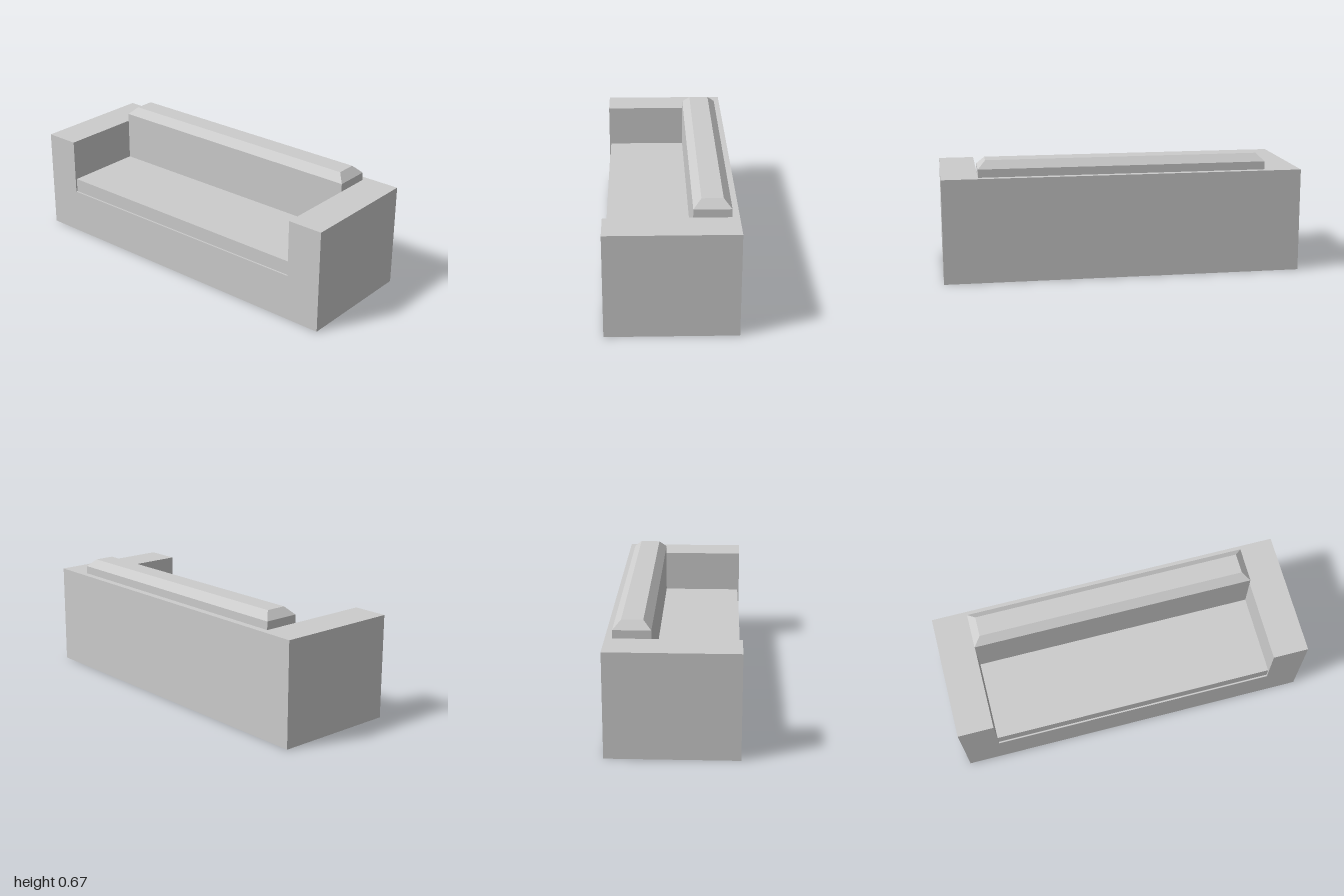
import * as THREE from 'three';

const material = new THREE.MeshStandardMaterial({ color: 0xcccccc, flatShading: true });

function addPart(group, name, geometry) {
  const mesh = new THREE.Mesh(geometry, material);
  mesh.name = name;
  group.add(mesh);
  return mesh;
}

// Box given by its minimum and maximum corners
function boxBetween([x0, y0, z0], [x1, y1, z1], ySegments = 1) {
  return new THREE.BoxGeometry(x1 - x0, y1 - y0, z1 - z0, 1, ySegments, 1)
    .translate((x0 + x1) / 2, (y0 + y1) / 2, (z0 + z1) / 2);
}

export function createModel() {
  const sofa = new THREE.Group();
  sofa.name = 'sofa';

  const halfWidth = 1, inner = 0.8, halfDepth = 0.352;
  const armTop = 0.58, baseTop = 0.26, seatTop = 0.34;
  const padBack = -0.313, padFront = -0.113;

  // Base and both arms: one U-shaped front profile, extruded through the depth
  const profile = new THREE.Shape([
    [-halfWidth, 0], [halfWidth, 0], [halfWidth, armTop], [inner, armTop],
    [inner, baseTop], [-inner, baseTop], [-inner, armTop], [-halfWidth, armTop],
  ].map(([x, y]) => new THREE.Vector2(x, y)));
  addPart(sofa, 'baseAndArms',
    new THREE.ExtrudeGeometry(profile, { depth: 2 * halfDepth, bevelEnabled: false })
      .translate(0, 0, -halfDepth));

  // Back panel closing the U behind the cushions
  addPart(sofa, 'backPanel',
    boxBetween([-inner, baseTop, -halfDepth], [inner, armTop, padBack]));

  // Seat cushion, set back slightly from the front of the base
  addPart(sofa, 'seatCushion',
    boxBetween([-inner, baseTop, padBack], [inner, seatTop, 0.343]));

  // Back cushion: straight sides with a wide chamfer around the top
  const padTop = 0.668, chamfer = 0.043;
  const pad = boxBetween([-inner, seatTop, padBack], [inner, padTop, padFront], 2);
  const pos = pad.attributes.position;
  const midZ = (padBack + padFront) / 2;
  for (let i = 0; i < pos.count; i++) {
    const y = pos.getY(i);
    if (y > padTop - 0.01) {
      pos.setX(i, pos.getX(i) - Math.sign(pos.getX(i)) * chamfer);
      pos.setZ(i, pos.getZ(i) - Math.sign(pos.getZ(i) - midZ) * chamfer);
    } else if (y > seatTop + 0.01) {
      pos.setY(i, padTop - chamfer);
    }
  }
  const flatPad = pad.toNonIndexed();
  flatPad.computeVertexNormals();
  addPart(sofa, 'backCushion', flatPad);

  return sofa;
}
